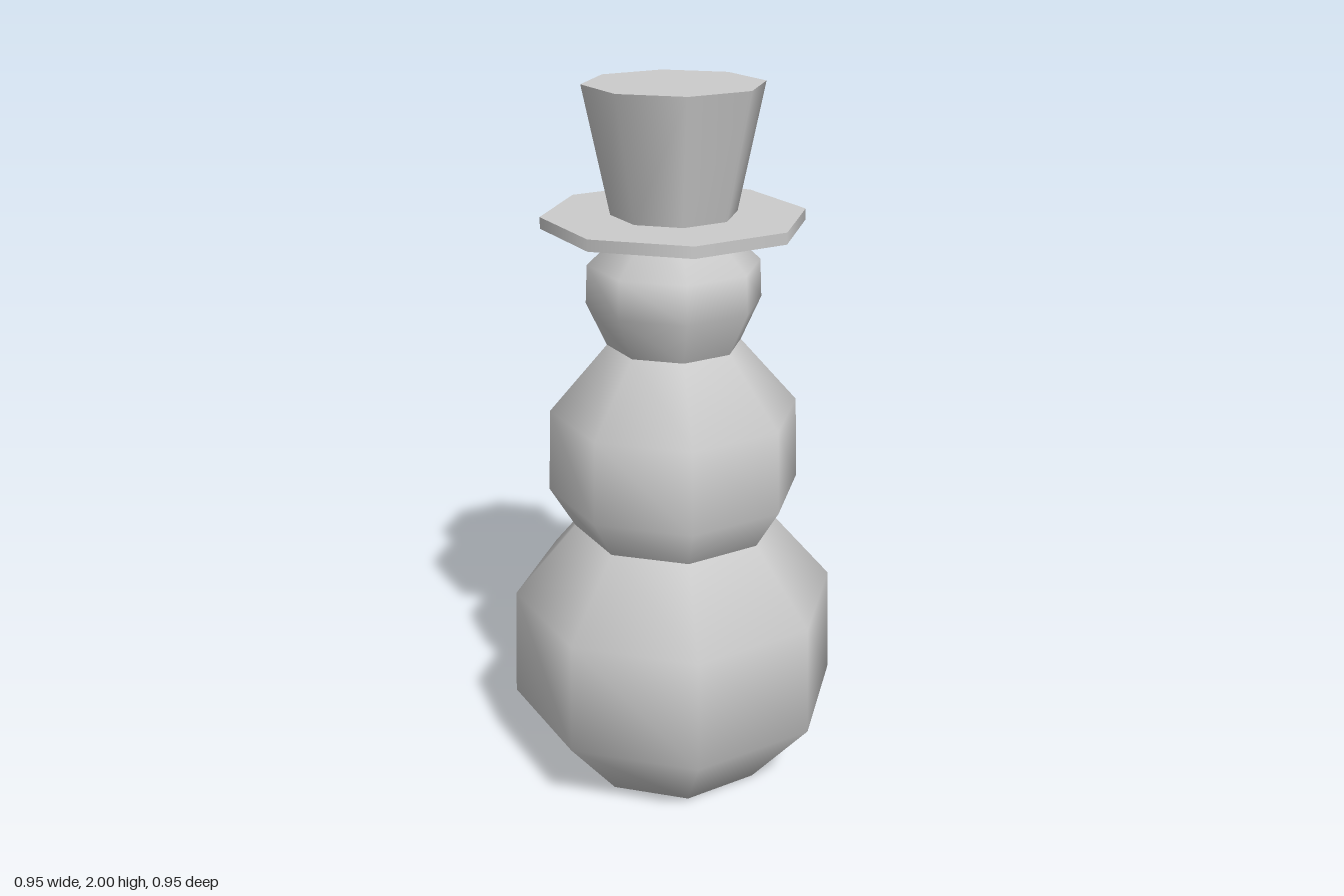
import * as THREE from 'three';

const SIDES = 8;
const material = new THREE.MeshStandardMaterial({ color: 0xcccccc });

export function createModel() {
  const group = new THREE.Group();

  const add = (name, geometry, y = 0) => {
    const mesh = new THREE.Mesh(geometry, material);
    mesh.name = name;
    mesh.position.y = y;
    group.add(mesh);
  };

  // Faceted snowball turned from [radius, height] points, bottom to top
  const ball = (name, profile) =>
    add(name, new THREE.LatheGeometry(profile.map(([r, y]) => new THREE.Vector2(r, y)), SIDES));

  // Hat piece standing between two heights
  const disc = (name, topRadius, bottomRadius, y0, y1) =>
    add(name, new THREE.CylinderGeometry(topRadius, bottomRadius, y1 - y0, SIDES), (y0 + y1) / 2);

  // Body, with a closed base
  ball('lowerBody', [[0, 0], [0.29, 0.005], [0.475, 0.235], [0.462, 0.56], [0.285, 0.767]]);
  ball('middleBody', [[0.285, 0.767], [0.355, 0.885], [0.346, 1.12], [0.185, 1.305]]);
  ball('head', [[0.185, 1.305], [0.24, 1.425], [0.235, 1.53], [0.12, 1.635]]);

  // Top hat
  disc('hatBrim', 0.355, 0.355, 1.632, 1.663);
  disc('hatCrown', 0.24, 0.17, 1.663, 2);

  return group;
}
